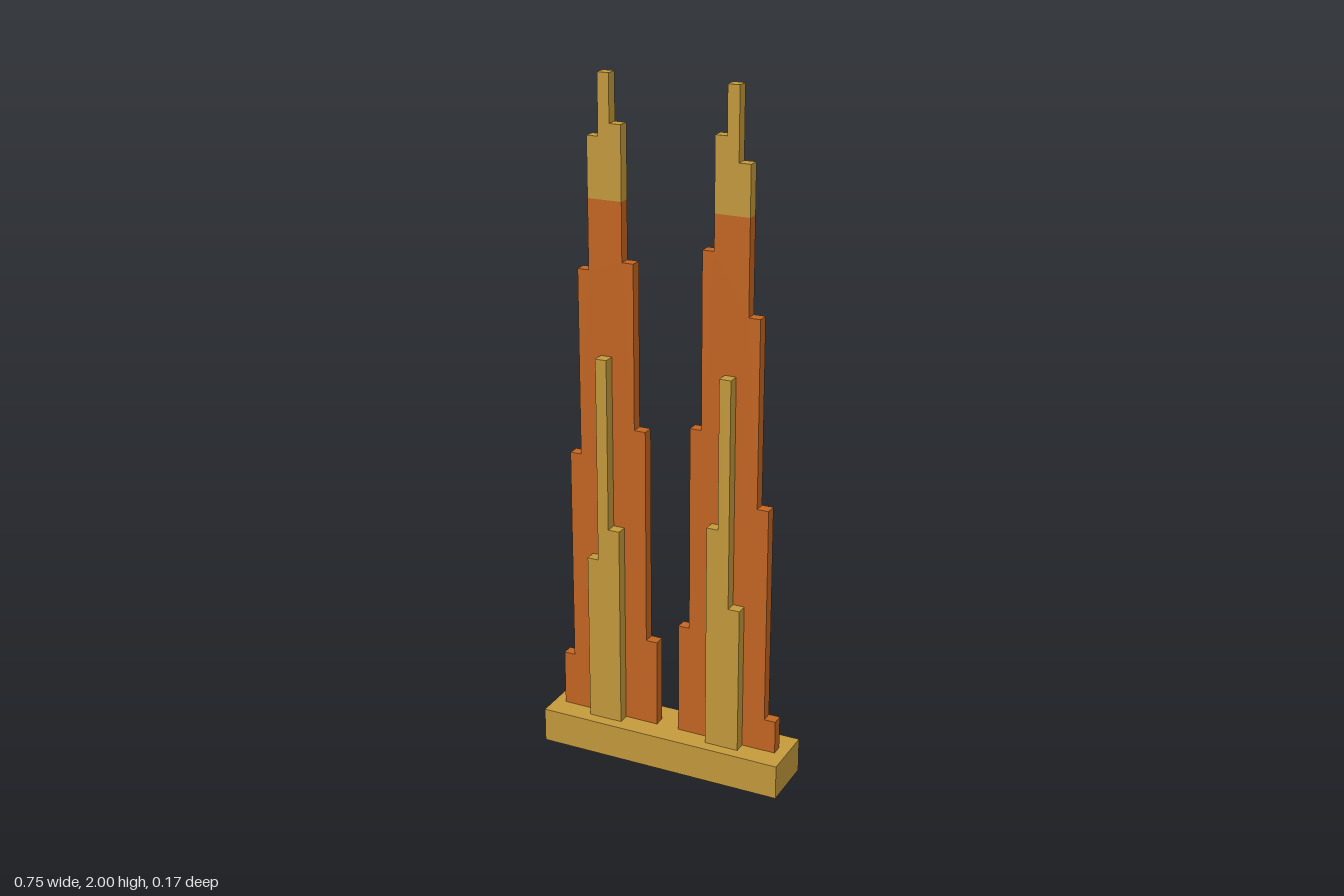
import * as THREE from 'three';

const COL = 0.0339;      // width of one step
const BASE_TOP = 0.103;
const SPLIT = 1.66;      // height where the gold crown begins

export function createModel() {
  const group = new THREE.Group();
  const gold = new THREE.MeshStandardMaterial({ color: 0xc49a3c });
  gold.name = 'gold';
  const orange = new THREE.MeshStandardMaterial({ color: 0xc46622 });
  orange.name = 'burnt orange';

  function add(parent, name, geometry, material) {
    const mesh = new THREE.Mesh(geometry, material);
    mesh.name = name;
    parent.add(mesh);
    return mesh;
  }

  // Stepped skyline of equal-width columns, extruded from z0 to z1
  function skyline(heights, bottom, z0, z1) {
    const left = -heights.length * COL / 2;
    const points = [new THREE.Vector2(left, bottom)];
    heights.forEach((h, i) => {
      const x = left + i * COL;
      if (i === 0 || heights[i - 1] !== h) points.push(new THREE.Vector2(x, h));
      if (heights[i + 1] !== h) points.push(new THREE.Vector2(x + COL, h));
    });
    points.push(new THREE.Vector2(-left, bottom));
    const geometry = new THREE.ExtrudeGeometry(new THREE.Shape(points), { depth: z1 - z0, bevelEnabled: false });
    return geometry.translate(0, 0, z0);
  }

  // Plinth
  add(group, 'base', new THREE.BoxGeometry(0.746, BASE_TOP, 0.17), gold).position.y = BASE_TOP / 2;

  // Towers: thin stepped slab, gold crown, and stepped buttresses front and back
  const towers = [
    { name: 'rightTower', x: -0.187,
      steps: [0.27, 0.915, 1.46, 1.83, 2, 1.867, 1.493, 1.015, 0.37], fin: [0.613, 1.22, 0.713] },
    { name: 'leftTower', x: 0.187,
      steps: [0.44, 1.05, 1.558, 1.867, 2, 1.8, 1.39, 0.848, 0.203], fin: [0.78, 1.22, 0.545] },
  ];
  for (const { name, x, steps, fin } of towers) {
    const tower = new THREE.Group();
    tower.name = name;
    tower.position.x = x;
    group.add(tower);
    const half = COL / 2;
    add(tower, 'slab', skyline(steps.map(h => Math.min(h, SPLIT)), BASE_TOP, -half, half), orange);
    add(tower, 'crown', skyline(steps.filter(h => h > SPLIT), SPLIT, -half, half), gold);
    add(tower, 'frontButtress', skyline(fin, BASE_TOP, half, half + COL), gold);
    add(tower, 'backButtress', skyline(fin, BASE_TOP, -half - COL, -half), gold);
  }
  return group;
}
